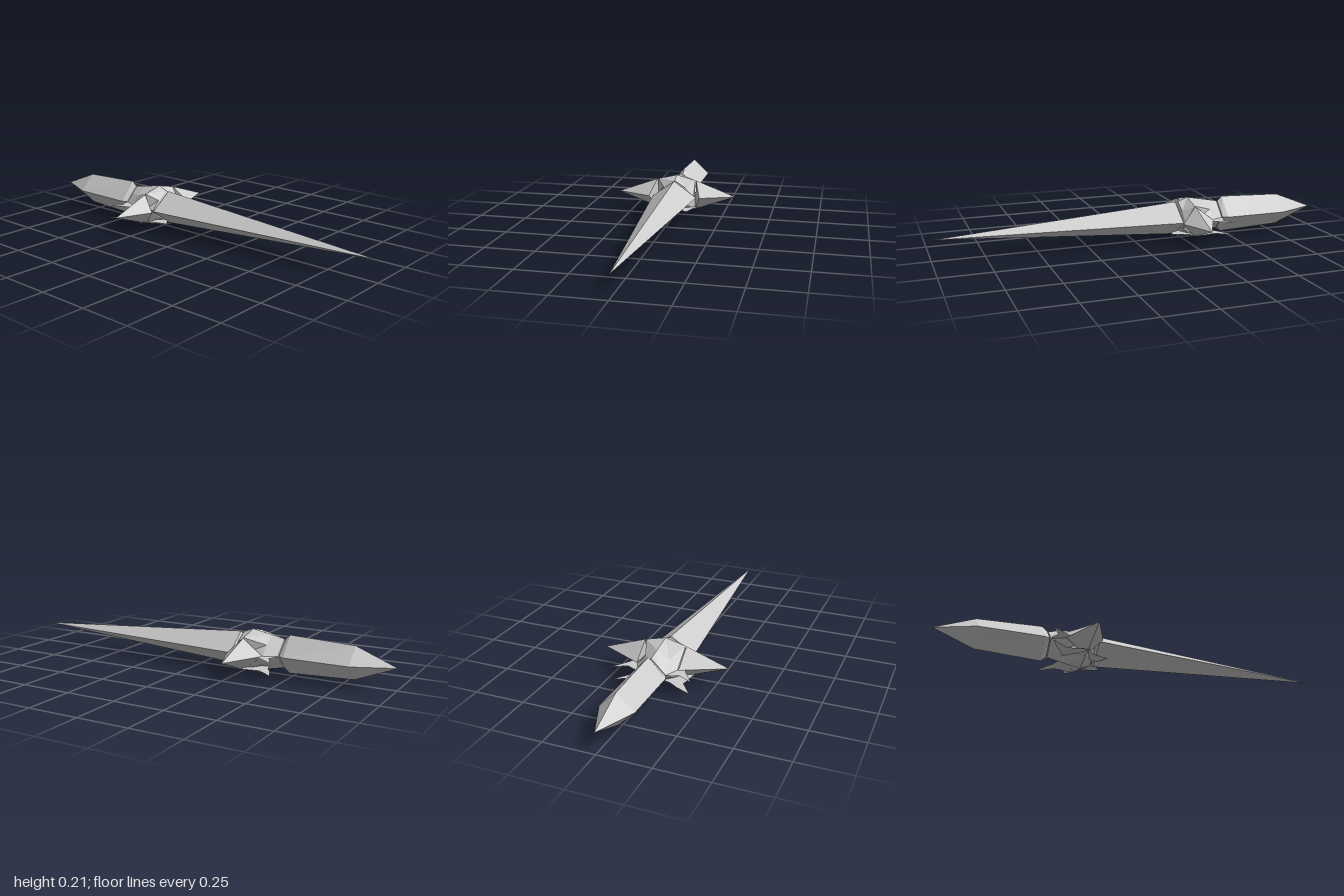
import * as THREE from 'three';
import { ConvexGeometry } from 'three/addons/geometries/ConvexGeometry.js';

const MID = 0.104; // height of the symmetry plane

// Section [x, half height, half width, shoulder z, shoulder height]
function ring([x, h, w, sz, sh]) {
  const yz = sz === undefined
    ? [[h, 0], [0, w], [-h, 0], [0, -w]]
    : [[h, 0], [sh, sz], [0, w], [-sh, sz], [-h, 0], [-sh, -sz], [0, -w], [sh, -sz]];
  return yz.map(([y, z]) => [x, MID + y, z]);
}

// Faceted skin through sections running along x
function loft(sections) {
  const rings = sections.map(ring), n = rings[0].length, pos = [];
  for (let i = 0; i < rings.length - 1; i++) {
    const wide = s => s[1] > 0;
    for (let j = 0; j < n; j++) {
      const k = (j + 1) % n;
      const a = rings[i][j], b = rings[i][k], c = rings[i + 1][j], d = rings[i + 1][k];
      if (wide(sections[i])) pos.push(...a, ...b, ...c);
      if (wide(sections[i + 1])) pos.push(...b, ...d, ...c);
    }
  }
  const g = new THREE.BufferGeometry();
  g.setAttribute('position', new THREE.Float32BufferAttribute(pos, 3));
  g.computeVertexNormals();
  return g;
}

// Flat star plate mirrored across z = 0, from its +z outline
function plate(half, y) {
  const outline = [...half, ...half.map(([x, z]) => [x, -z]).reverse()];
  const g = new THREE.ShapeGeometry(new THREE.Shape(outline.map(p => new THREE.Vector2(...p))));
  return g.rotateX(Math.PI / 2).translate(0, y, 0);
}

export function createModel() {
  const group = new THREE.Group();
  const steel = new THREE.MeshStandardMaterial({ color: 0xcccccc, flatShading: true, side: THREE.DoubleSide });
  steel.name = 'paleSteel';
  const add = (name, geometry) => {
    const m = new THREE.Mesh(geometry, steel);
    m.name = name;
    group.add(m);
  };

  // Long tapering blade
  add('blade', loft([[-0.25, 0, 0], [-0.22, 0.084, 0.115], [0.99, 0, 0]]));

  // Pointed grip
  add('grip', loft([[-1, 0, 0], [-0.8, 0.08, 0.083], [-0.48, 0.093, 0.083],
    [-0.455, 0.07, 0.07], [-0.455, 0, 0]]));

  // Faceted hub between grip and blade
  add('hub', loft([[-0.46, 0, 0, 0, 0], [-0.45, 0.071, 0.07, 0.035, 0.036],
    [-0.385, 0.084, 0.1, 0.06, 0.045], [-0.285, 0.103, 0.1, 0.1, 0.078],
    [-0.235, 0.083, 0.1, 0.06, 0.045], [-0.215, 0, 0, 0, 0]]));

  // Large guard spikes on both sides
  for (const s of [1, -1]) {
    const points = [[-0.283, MID, 0.315], [-0.385, MID, 0.105], [-0.21, MID, 0.135],
      [-0.285, 0.181, 0.105], [-0.285, 0.026, 0.1]];
    add(s > 0 ? 'frontGuardSpike' : 'backGuardSpike',
      new ConvexGeometry(points.map(([x, y, z]) => new THREE.Vector3(x, y, z * s))));
  }

  // Thin barbed plates
  add('upperBarbPlate', plate([[-0.44, 0], [-0.45, 0.09], [-0.43, 0.125], [-0.47, 0.2],
    [-0.385, 0.14], [-0.3, 0.1], [-0.3, 0]], MID));
  add('lowerBarbPlate', plate([[-0.38, 0], [-0.4, 0.07], [-0.43, 0.115], [-0.465, 0.19],
    [-0.385, 0.13], [-0.28, 0.146], [-0.25, 0.1], [-0.166, 0.076], [-0.22, 0]], 0.04));

  return group;
}
